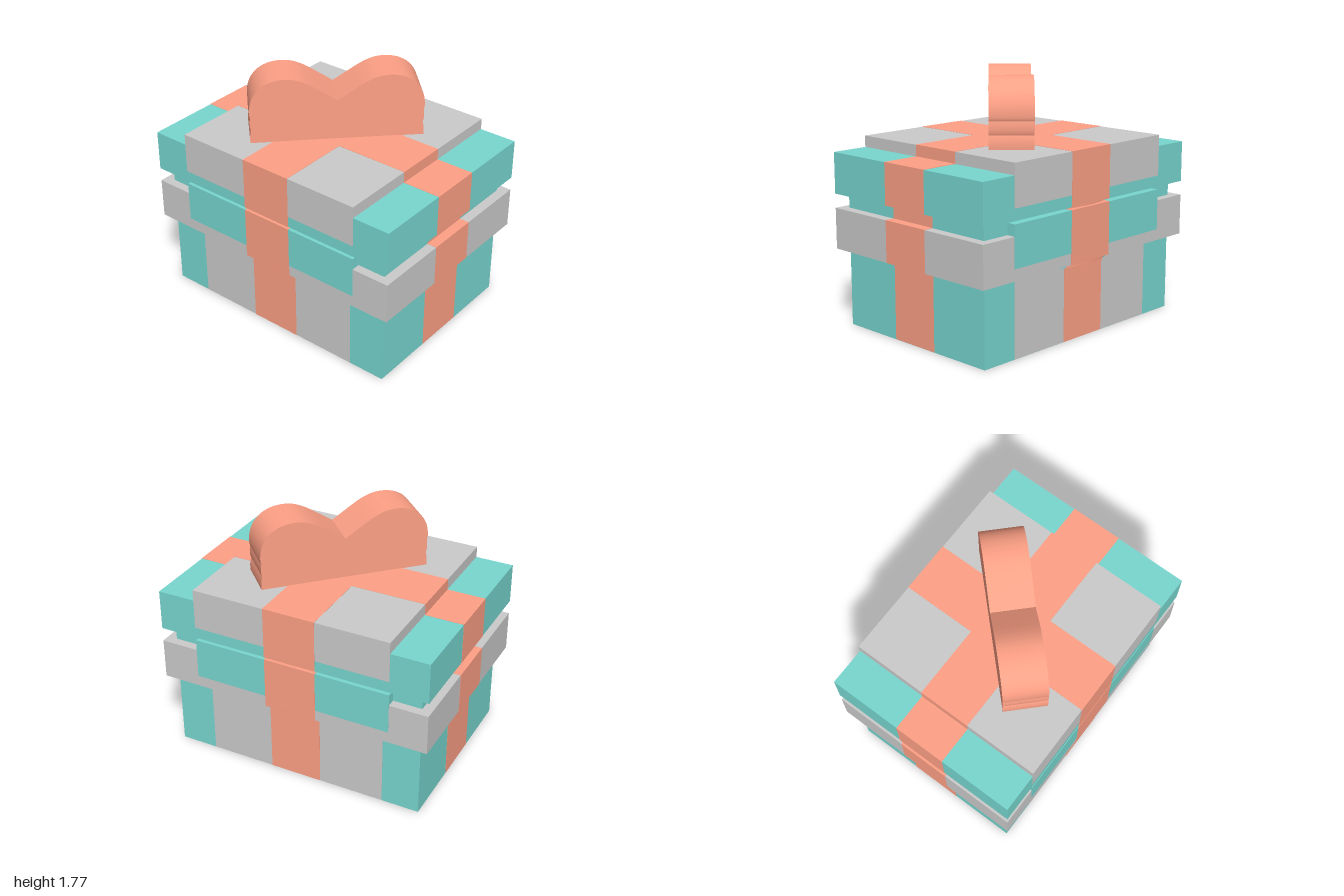
import * as THREE from 'three';
import { toCreasedNormals } from 'three/addons/utils/BufferGeometryUtils.js';

const material = (color) => new THREE.MeshStandardMaterial({ color });

export function createModel() {
  const model = new THREE.Group();
  const teal = material(0x78d7d0);
  const grey = material(0xcccccc);
  const coral = material(0xffa186);

  const add = (parent, name, geometry, mat) => {
    const mesh = new THREE.Mesh(geometry, mat);
    mesh.name = name;
    parent.add(mesh);
    return mesh;
  };

  // Box given by its half width, half depth, bottom and top
  const box = (parent, name, mat, hx, hz, y0, y1) => {
    const mesh = add(parent, name, new THREE.BoxGeometry(hx * 2, y1 - y0, hz * 2), mat);
    mesh.position.y = (y0 + y1) / 2;
  };

  const eps = 0.002; // keeps coplanar panels from flickering
  const band = 0.19; // half width of the ribbon

  // Body with a wide centre panel and a ribbon on all four sides
  const body = new THREE.Group();
  body.name = 'body';
  model.add(body);
  box(body, 'bodyBox', teal, 0.93, 0.66, 0, 0.96);
  box(body, 'bodyPanel', grey, 0.66, 0.66 + eps, eps, 0.96);
  box(body, 'bodyRibbonFront', coral, band, 0.66 + eps * 2, eps, 0.96);
  box(body, 'bodyRibbonSide', coral, 0.93 + eps, band, eps, 0.96);

  // Two lids: a wide slab, a raised centre block and crossing ribbons
  const lid = (name, slabMat, blockMat, y) => {
    const group = new THREE.Group();
    group.name = name;
    group.position.y = y;
    model.add(group);
    box(group, 'lidSlab', slabMat, 1, 0.723, 0, 0.29);
    box(group, 'lidBlock', blockMat, 0.725, 0.723 + eps, 0.08, 0.37);
    box(group, 'ribbonFront', coral, band, 0.723 + eps * 2, 0, 0.37 + eps);
    box(group, 'ribbonSide', coral, 1 + eps, band, 0, 0.29 + eps);
    box(group, 'ribbonTop', coral, 0.725 + eps, band, 0.25, 0.37 + eps);

    // Round disc peeping out beneath the lid
    const disc = add(group, 'disc', new THREE.CylinderGeometry(0.703, 0.703, 0.06, 64), teal);
    disc.position.y = 0;
    for (const side of [0, Math.PI]) {
      const arc = new THREE.CylinderGeometry(0.705, 0.705, 0.06, 12, 1, false, side - 0.274, 0.548);
      add(group, 'discRibbon', arc, coral);
    }
  };
  lid('lowerLid', grey, teal, 0.55);
  lid('upperLid', teal, grey, 0.94);

  // Bow: two rounded loops with a notch, extruded and set diagonally
  const outline = new THREE.Shape();
  outline.moveTo(0, 1.6);
  outline.lineTo(0.15, 1.7);
  outline.bezierCurveTo(0.23, 1.75, 0.28, 1.77, 0.35, 1.77);
  outline.bezierCurveTo(0.49, 1.77, 0.588, 1.68, 0.588, 1.54);
  outline.quadraticCurveTo(0.588, 1.51, 0.582, 1.5);
  outline.quadraticCurveTo(0.592, 1.44, 0.578, 1.405);
  outline.quadraticCurveTo(0.592, 1.36, 0.585, 1.3);
  outline.lineTo(-0.585, 1.3);
  outline.quadraticCurveTo(-0.592, 1.36, -0.578, 1.405);
  outline.quadraticCurveTo(-0.592, 1.44, -0.582, 1.5);
  outline.quadraticCurveTo(-0.588, 1.51, -0.588, 1.54);
  outline.bezierCurveTo(-0.588, 1.68, -0.49, 1.77, -0.35, 1.77);
  outline.bezierCurveTo(-0.28, 1.77, -0.23, 1.75, -0.15, 1.7);
  outline.closePath();
  const loops = new THREE.ExtrudeGeometry(outline, { depth: 0.3, bevelEnabled: false, curveSegments: 16 });
  loops.translate(0, 0, -0.15);
  const bow = add(model, 'bow', toCreasedNormals(loops, 0.5), coral);
  bow.rotation.y = Math.PI / 4;
  bow.position.set(0.01, 0, 0.01);

  return model;
}
